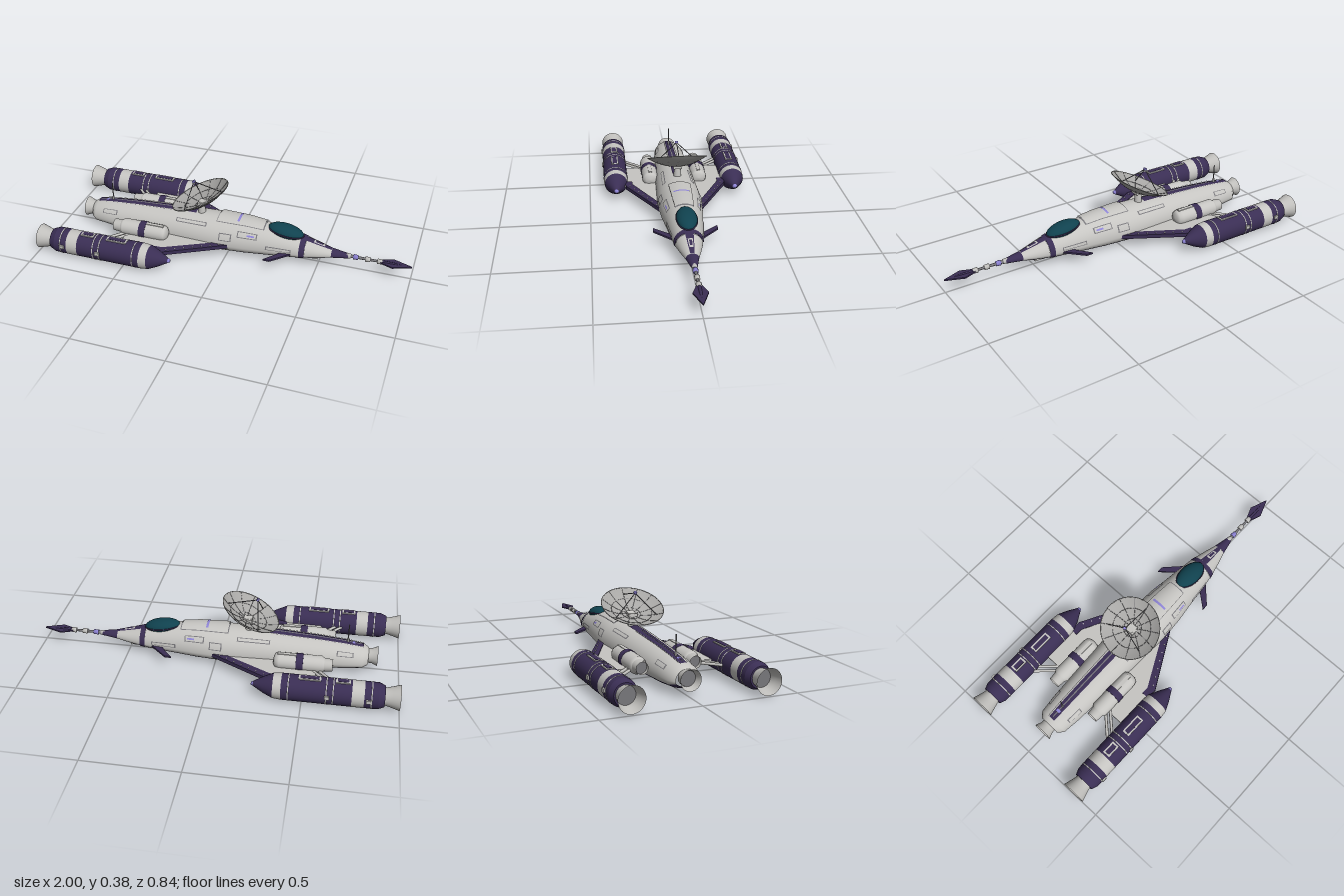
import * as THREE from 'three';

const mat = (name, color, side = THREE.FrontSide) => {
  const m = new THREE.MeshStandardMaterial({ color, side });
  m.name = name;
  return m;
};

// Hull stations: x, half width, top y, bottom y
const STATIONS = [
  [-0.83, 0.055, 0.13, 0.045], [-0.8, 0.083, 0.148, 0.03], [-0.7, 0.094, 0.162, 0.018],
  [-0.55, 0.102, 0.175, 0.009], [-0.3, 0.115, 0.189, 0.003], [-0.05, 0.125, 0.196, 0.003],
  [0.1, 0.114, 0.194, 0.008], [0.2, 0.101, 0.184, 0.014], [0.3, 0.09, 0.168, 0.021],
  [0.4, 0.077, 0.148, 0.03], [0.43, 0.071, 0.139, 0.034], [0.5, 0.054, 0.119, 0.043],
  [0.57, 0.034, 0.1, 0.054], [0.66, 0.015, 0.089, 0.062],
];
const MID = 0.073;

function station(x) {
  let i = 0;
  while (i < STATIONS.length - 2 && x > STATIONS[i + 1][0]) i++;
  const a = STATIONS[i], b = STATIONS[i + 1];
  const t = (x - a[0]) / (b[0] - a[0]);
  return a.map((v, k) => v + (b[k] - v) * t);
}

// Patch of hull skin between two x values and two angles (0 = +z, PI/2 = up)
function skin(x0, x1, a0, a1, lift = 0) {
  const xs = [x0, ...STATIONS.map(s => s[0]).filter(x => x > x0 + 1e-4 && x < x1 - 1e-4), x1];
  const n = Math.max(2, Math.ceil(Math.abs(a1 - a0) / 0.1));
  const pos = [], idx = [];
  xs.forEach((x, i) => {
    const [, w, top, bot] = station(x);
    for (let j = 0; j <= n; j++) {
      const t = a0 + (a1 - a0) * j / n, s = Math.sin(t);
      pos.push(x, MID + s * ((s > 0 ? top - MID : MID - bot) + lift), Math.cos(t) * (w + lift));
      if (i < xs.length - 1 && j < n) {
        const a = i * (n + 1) + j, b = a + n + 1;
        idx.push(a, b, a + 1, b, b + 1, a + 1);
      }
    }
  });
  const g = new THREE.BufferGeometry();
  g.setAttribute('position', new THREE.Float32BufferAttribute(pos, 3));
  g.setIndex(idx);
  g.computeVertexNormals();
  return g;
}

// Solid of revolution about the x axis from [x, radius] pairs
function turned(pts, seg = 32) {
  const g = new THREE.LatheGeometry(pts.map(([x, r]) => new THREE.Vector2(r, x)), seg);
  return g.rotateZ(-Math.PI / 2);
}

// Flat plate from an x/z outline, top at y
function plate(outline, y, thick) {
  const shape = new THREE.Shape(outline.map(([x, z]) => new THREE.Vector2(x, z)));
  return new THREE.ExtrudeGeometry(shape, { depth: thick, bevelEnabled: false })
    .rotateX(Math.PI / 2).translate(0, y, 0);
}

function rod(a, b, r) {
  const p = new THREE.Vector3(...a), d = new THREE.Vector3(...b).sub(p);
  const q = new THREE.Quaternion().setFromUnitVectors(new THREE.Vector3(0, 1, 0), d.clone().normalize());
  return new THREE.CylinderGeometry(r, r, d.length(), 8).applyQuaternion(q)
    .translate(p.x + d.x / 2, p.y + d.y / 2, p.z + d.z / 2);
}

export function createModel() {
  const grey = mat('hullGrey', 0xc6c5c2);
  const purple = mat('darkPurple', 0x3a2e54);
  const teal = mat('canopyTeal', 0x10424f);
  const lavender = mat('lavender', 0x8e84d6);
  const seam = mat('seamGrey', 0x77767a);
  const metal = mat('nozzleGrey', 0xc0bfbc, THREE.DoubleSide);
  const dishGrey = mat('dishGrey', 0xa9a8a6, THREE.DoubleSide);

  const root = new THREE.Group();
  const add = (name, geo, material, parent = root) => {
    const m = new THREE.Mesh(geo, material);
    m.name = name;
    parent.add(m);
    return m;
  };
  const box = (w, h, d, x, y, z) => new THREE.BoxGeometry(w, h, d).translate(x, y, z);
  const PI = Math.PI, UP = PI / 2;

  // Fuselage: grey skin, purple belly, band and nose cone
  const cut = 0.48;
  add('hull', skin(-0.83, 0.4, -cut, PI + cut), grey);
  add('belly', skin(-0.83, 0.4, PI + cut, 2 * PI - cut), purple);
  add('noseBand', skin(0.4, 0.43, 0, 2 * PI, 0.002), purple);
  add('nose', skin(0.43, 0.57, -cut, PI + cut), grey);
  add('noseBelly', skin(0.43, 0.57, PI + cut, 2 * PI - cut), purple);
  add('noseCone', skin(0.57, 0.66, 0, 2 * PI), purple);
  add('noseStripe', skin(0.43, 0.57, UP - 0.3, UP + 0.3, 0.003), purple);
  add('noseWindowFrame', skin(0.47, 0.53, UP - 0.2, UP + 0.2, 0.005), grey);
  add('noseWindow', skin(0.48, 0.52, UP - 0.12, UP + 0.12, 0.007), purple);
  add('chinSensor', box(0.07, 0.014, 0.036, 0.46, 0.034, 0), grey);
  add('chinLight', box(0.004, 0.007, 0.016, 0.497, 0.034, 0), lavender);

  // Spine stripe with side rails
  add('spineStripe', skin(-0.8, -0.2, UP - 0.21, UP + 0.21, 0.004), purple);
  add('spineCentre', skin(-0.79, -0.3, UP - 0.03, UP + 0.03, 0.007), seam);
  add('spineLight', skin(-0.755, -0.74, UP - 0.12, UP + 0.12, 0.008), lavender);

  // Dorsal panel ahead of the dish
  add('dorsalPanelEdge', skin(-0.07, 0.2, UP - 0.5, UP + 0.5, 0.004), seam);
  add('dorsalPanel', skin(-0.065, 0.194, UP - 0.48, UP + 0.48, 0.008), grey);
  add('dorsalLight', skin(0.045, 0.058, UP - 0.34, UP + 0.34, 0.011), lavender);

  // Canopy with dark rim
  const canopy = new THREE.Group();
  canopy.name = 'canopy';
  canopy.position.set(0.31, 0.162, 0);
  canopy.rotation.z = -0.15;
  root.add(canopy);
  add('canopyGlass', new THREE.SphereGeometry(1, 32, 16).scale(0.1, 0.037, 0.055), teal, canopy);
  add('canopyRim', new THREE.TorusGeometry(1, 0.06, 6, 32).rotateX(UP).scale(0.098, 0.07, 0.055), purple, canopy);

  // Nose probe with rings and a flat spearhead
  const Y = 0.076;
  add('probeRod', turned([[0.65, 0.011], [0.7, 0.008], [0.88, 0.006]], 12).translate(0, Y, 0), seam);
  for (const x of [0.66, 0.7, 0.765, 0.83])
    add('probeRing', turned([[x - 0.013, 0], [x - 0.013, 0.015], [x + 0.013, 0.013], [x + 0.013, 0]], 12)
      .translate(0, Y, 0), x === 0.7 ? lavender : grey);
  add('spearhead', plate([[0.82, 0.008], [0.9, 0.038], [1, 0.001], [1, -0.001], [0.9, -0.038], [0.82, -0.008]], Y + 0.004, 0.008), purple);
  add('spearRidge', turned([[0.82, 0.01], [0.9, 0.009], [0.99, 0.001]], 8).translate(0, Y, 0), purple);

  // Rear engine nozzle
  add('rearNozzle', turned([[-0.88, 0.054], [-0.85, 0.041], [-0.82, 0.04]]).translate(0, 0.088, 0), metal);
  add('rearNozzleCore', turned([[-0.845, 0], [-0.845, 0.04]]).translate(0, 0.088, 0), seam);

  // Mast antenna
  add('antenna', rod([-0.715, 0.15, 0], [-0.715, 0.27, 0], 0.003), seam);
  add('antennaBase', rod([-0.715, 0.15, 0], [-0.715, 0.185, 0], 0.006), grey);

  // Dish on its pedestal
  add('dishPost', new THREE.CylinderGeometry(0.018, 0.022, 0.08, 16).translate(-0.175, 0.22, 0), grey);
  add('dishMount', box(0.045, 0.016, 0.05, -0.17, 0.25, 0), grey);
  const dish = new THREE.Group();
  dish.name = 'dish';
  dish.position.set(-0.161, 0.251, 0);
  dish.rotation.z = 0.435;
  root.add(dish);
  const R = 0.167, D = 0.053;
  const bowl = t => [R * t, D * t * t];
  const curve = Array.from({ length: 11 }, (_, i) => new THREE.Vector2(...bowl(i / 10)));
  add('dishBowl', new THREE.LatheGeometry(curve, 48), dishGrey, dish);
  add('dishRim', new THREE.TorusGeometry(R, 0.002, 6, 48).rotateX(UP).translate(0, D, 0), dishGrey, dish);
  for (const t of [0.3, 0.65])
    add('dishRing', new THREE.TorusGeometry(R * t, 0.0012, 4, 40).rotateX(UP).translate(0, D * t * t + 0.001, 0), seam, dish);
  for (let i = 0; i < 12; i++) {
    const line = new THREE.CatmullRomCurve3([0.1, 0.4, 0.7, 1].map(t => new THREE.Vector3(R * t, D * t * t + 0.001, 0)));
    add('dishRib', new THREE.TubeGeometry(line, 8, 0.0012, 4).rotateY(i * PI / 6), seam, dish);
  }
  for (let i = 0; i < 3; i++) {
    const a = i * PI * 2 / 3, r = 0.8;
    add('feedStrut', rod([R * r * Math.cos(a), D * r * r, R * r * Math.sin(a)], [0, 0.137, 0], 0.0025), seam, dish);
  }
  add('feedHorn', box(0.014, 0.012, 0.016, 0, 0.138, 0), lavender, dish);
  add('dishHub', box(0.04, 0.008, 0.04, 0, 0.005, 0), grey, dish);

  for (const s of [1, -1]) {
    const side = s > 0 ? 'left' : 'right';
    const flip = pts => pts.map(([x, z]) => [x, z * s]);
    // Angles mirrored across the hull
    const panel = (name, x0, x1, a0, a1, lift, m) =>
      add(name, s > 0 ? skin(x0, x1, a0, a1, lift) : skin(x0, x1, PI - a1, PI - a0, lift), m);

    // Hull side panels and lights
    for (const [x0, x1, a0, a1] of [[0.06, 0.17, 0.5, 0.8], [0.22, 0.36, 0.1, 0.3], [-0.04, 0.03, 0.25, 0.6], [-0.3, -0.12, 0.75, 0.95], [-0.75, -0.66, 0.5, 0.8]]) {
      panel('panelEdge', x0, x1, a0, a1, 0.002, seam);
      panel('sidePanel', x0 + 0.006, x1 - 0.006, a0 + 0.04, a1 - 0.04, 0.004, grey);
    }
    panel('sideLight', 0.115, 0.155, 0.6, 0.68, 0.006, lavender);
    panel('spineRail', -0.8, -0.3, UP - 0.28, UP - 0.24, 0.007, grey);

    // Wing with purple leading edge, rivets and rear struts
    add(side + 'Wing', plate(flip([[-0.56, 0.08], [-0.56, 0.3], [-0.33, 0.3], [0, 0.11], [0, 0.08]]), 0.078, 0.014), grey);
    add(side + 'WingEdge', plate(flip([[-0.36, 0.29], [-0.3, 0.29], [0.03, 0.11], [-0.05, 0.11], [-0.32, 0.25], [-0.36, 0.25]]), 0.082, 0.022), purple);
    for (let i = 0; i < 7; i++)
      add('wingRivet', box(0.006, 0.004, 0.006, -0.29 + i * 0.043, 0.083, s * (0.265 - i * 0.0225)), grey);
    for (const x of [-0.68, -0.645])
      add('wingStrut', rod([x, 0.075, s * 0.29], [x + 0.13, 0.075, s * 0.15], 0.008), grey);

    // Swept canard
    add(side + 'Canard', plate(flip([[0.23, 0.172], [0.265, 0.172], [0.365, 0.075], [0.4, 0.06], [0.28, 0.06], [0.295, 0.095]]), 0.074, 0.01), purple);

    // Side pod
    const pod = new THREE.Group();
    pod.name = side + 'Pod';
    pod.position.set(0, 0.097, s * 0.143);
    root.add(pod);
    add('podBody', turned([[-0.6, 0.036], [-0.585, 0.046], [-0.36, 0.046], [-0.34, 0.04], [-0.33, 0.025], [-0.327, 0]]), grey, pod);
    add('podBand', turned([[-0.488, 0.0465], [-0.487, 0.049], [-0.451, 0.049], [-0.45, 0.0465]]), purple, pod);
    add('podNozzle', turned([[-0.645, 0.032], [-0.6, 0.036]]), metal, pod);
    add('podCore', turned([[-0.62, 0], [-0.62, 0.034]]), seam, pod);
    add('podVent', box(0.1, 0.006, 0.02, -0.4, 0.045, 0), grey, pod);

    // Outer engine
    const eng = new THREE.Group();
    eng.name = side + 'Engine';
    eng.position.set(0, 0.075, s * 0.345);
    root.add(eng);
    add('engineNozzle', turned([[-1, 0.067], [-0.96, 0.055], [-0.93, 0.047], [-0.91, 0.047]]), metal, eng);
    add('engineCore', turned([[-0.93, 0], [-0.93, 0.047]]), seam, eng);
    add('engineTailCap', turned([[-0.922, 0.046], [-0.922, 0.056]]), purple, eng);
    add('engineTail', turned([[-0.922, 0.056], [-0.89, 0.069]]), purple, eng);
    add('engineAft', turned([[-0.89, 0.069], [-0.818, 0.07]]), purple, eng);
    add('engineAftBand', turned([[-0.818, 0.07], [-0.755, 0.07]]), grey, eng);
    add('engineBody', turned([[-0.755, 0.07], [-0.393, 0.07]]), purple, eng);
    add('engineFrontBand', turned([[-0.393, 0.07], [-0.35, 0.066]]), grey, eng);
    add('engineNose', turned([[-0.35, 0.066], [-0.3, 0.044], [-0.245, 0.013]]), purple, eng);
    add('engineTip', turned([[-0.245, 0.013], [-0.234, 0.008], [-0.234, 0]], 16), lavender, eng);
    for (const x of [-0.855, -0.66, -0.625, -0.43])
      add('engineRing', turned([[x - 0.003, 0.07], [x - 0.002, 0.0715], [x + 0.002, 0.0715], [x + 0.003, 0.07]]), grey, eng);
    for (const x of [-0.84, -0.63])
      add('engineClamp', box(0.025, 0.02, 0.014, x, 0.005, s * 0.07), grey, eng);
    // Framed hatches on top
    for (const [x0, x1] of [[-0.745, -0.67], [-0.595, -0.48]]) {
      add('hatchFrame', box(x1 - x0, 0.006, 0.042, (x0 + x1) / 2, 0.069, 0), grey, eng);
      add('hatch', box(x1 - x0 - 0.018, 0.006, 0.026, (x0 + x1) / 2, 0.0705, 0), purple, eng);
    }
  }
  return root;
}
